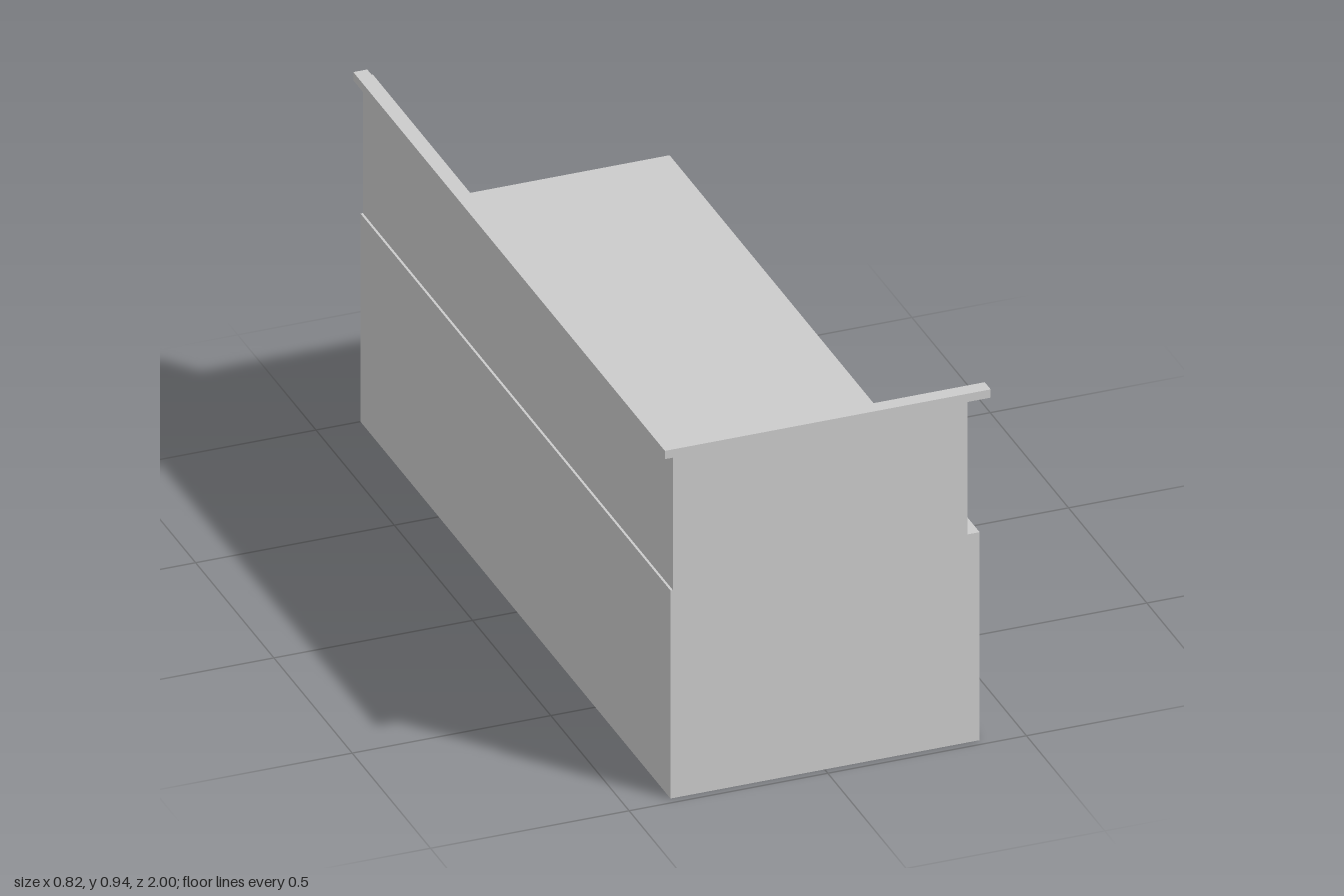
import * as THREE from 'three';

const X0 = -0.388, X1 = 0.39, Z0 = -1, Z1 = 0.98, DECK = 0.555, WALL_TOP = 0.92;

export function createModel() {
  const model = new THREE.Group();
  const solid = new THREE.MeshStandardMaterial({ color: 0xcccccc, flatShading: true });
  const sheet = new THREE.MeshStandardMaterial({ color: 0xcccccc, flatShading: true, side: THREE.DoubleSide });

  const add = (name, geometry, material) => {
    const mesh = new THREE.Mesh(geometry, material);
    mesh.name = name;
    model.add(mesh);
    return mesh;
  };

  // Box given by its opposite corners
  const block = (name, [ax, ay, az], [bx, by, bz]) =>
    add(name, new THREE.BoxGeometry(bx - ax, by - ay, bz - az), solid)
      .position.set((ax + bx) / 2, (ay + by) / 2, (az + bz) / 2);

  // Thin sheets of the base, open at the back and underneath
  const panel = (name, w, h, position, rx, ry) => {
    const mesh = add(name, new THREE.PlaneGeometry(w, h), sheet);
    mesh.position.set(...position);
    mesh.rotation.set(rx, ry, 0);
  };
  const width = X1 - X0, depth = Z1 - Z0, midX = (X0 + X1) / 2, midZ = (Z0 + Z1) / 2;
  panel('deck', width, depth, [midX, DECK, midZ], -Math.PI / 2, 0);
  panel('frontPanel', width, DECK, [midX, DECK / 2, Z1], 0, 0);
  panel('leftPanel', depth, DECK, [X1, DECK / 2, midZ], 0, Math.PI / 2);
  panel('rightPanel', depth, DECK, [X0, DECK / 2, midZ], 0, -Math.PI / 2);

  // Parapet walls along the right side and the front
  block('rightParapet', [-0.382, DECK, Z0], [-0.357, WALL_TOP, Z1]);
  block('frontParapet', [-0.357, DECK, 0.94], [0.36, WALL_TOP, Z1]);

  // L-shaped coping rail, overhanging outwards (outline in x and -z)
  const outline = [[-0.41, -1], [0.41, -1], [0.41, -0.962], [-0.375, -0.962], [-0.375, 0.99], [-0.41, 0.99]];
  const shape = new THREE.Shape(outline.map(([x, y]) => new THREE.Vector2(x, y)));
  const rail = new THREE.ExtrudeGeometry(shape, { depth: 0.022, bevelEnabled: false });
  rail.rotateX(-Math.PI / 2);
  add('copingRail', rail, solid).position.y = WALL_TOP;

  return model;
}
